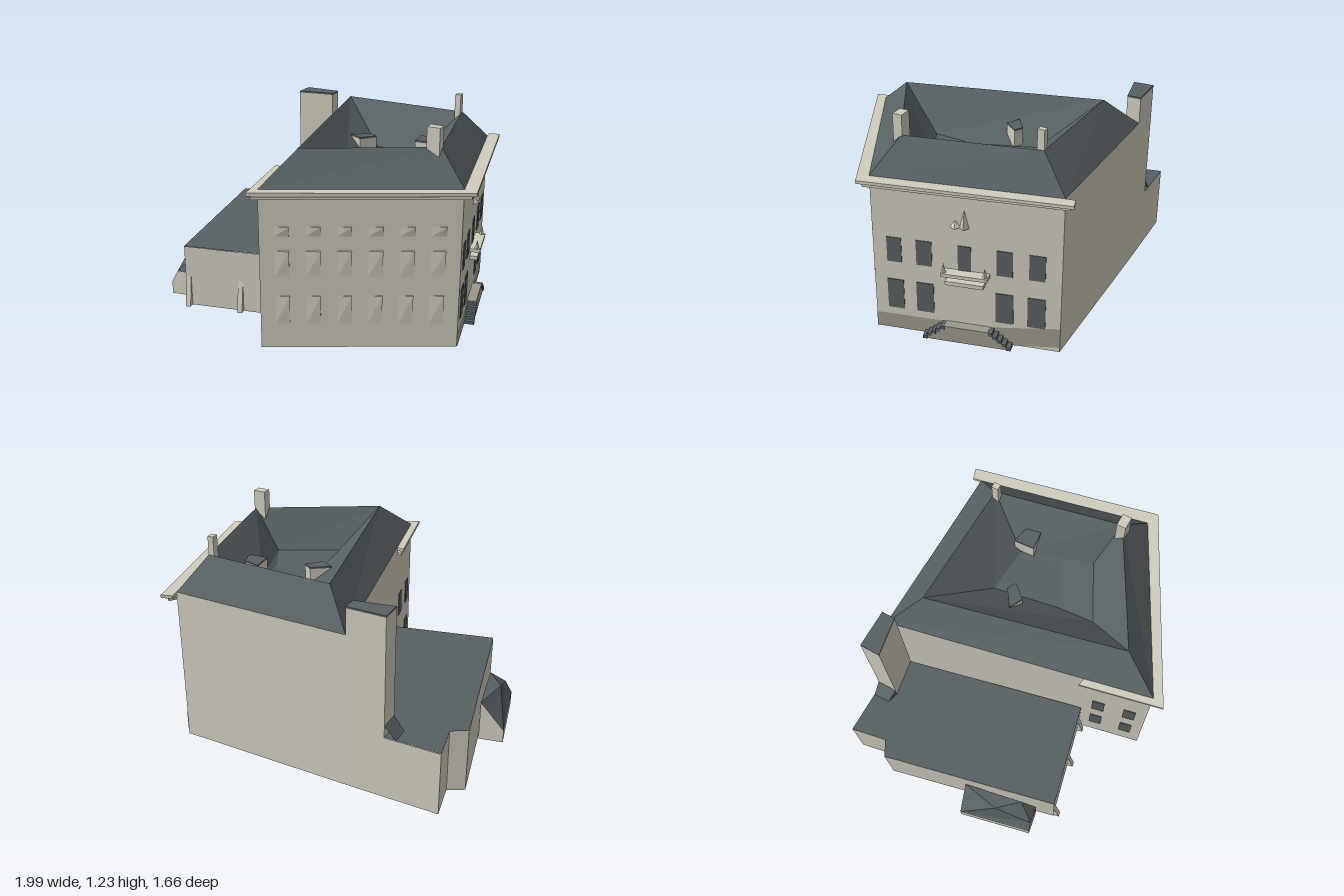
import * as THREE from 'three';

const mat = (name, color) => new THREE.MeshStandardMaterial({ name, color, flatShading: true, side: THREE.DoubleSide });
const stone = mat('stone', 0xd0ccc0);
const slate = mat('slate', 0x596164);
const plinthStone = mat('plinthStone', 0x9c998d);

// House corners on the ground as [x, z]
const A = [-0.045, 0.75], B = [0.91, 0.235], C = [0.68, -0.77], D = [-0.375, -0.78];

function mesh(name, geometry, material, parent) {
  const m = new THREE.Mesh(geometry, material);
  m.name = name;
  parent.add(m);
  return m;
}

// Flat faces from lists of corners, fanned into triangles
function faces(list) {
  const pos = [];
  for (const f of list)
    for (let i = 1; i < f.length - 1; i++) pos.push(...f[0], ...f[i], ...f[i + 1]);
  const g = new THREE.BufferGeometry();
  g.setAttribute('position', new THREE.Float32BufferAttribute(pos, 3));
  g.computeVertexNormals();
  return g;
}

// Open upright walls along a ground path
function walls(path, top) {
  return faces(path.slice(1).map((q, i) => {
    const p = path[i];
    return [[p[0], 0, p[1]], [q[0], 0, q[1]], [q[0], top, q[1]], [p[0], top, p[1]]];
  }));
}

// Horizontal slab from a ground outline
function slab(points, y0, y1) {
  const s = new THREE.Shape(points.map(([x, z]) => new THREE.Vector2(x, -z)));
  const g = new THREE.ExtrudeGeometry(s, { depth: y1 - y0, bevelEnabled: false });
  return g.rotateX(-Math.PI / 2).translate(0, y0, 0);
}

// Ring of quads between two loops of corners
const band = (a, b) => a.map((p, i) => {
  const j = (i + 1) % a.length;
  return [p, a[j], b[j], b[i]];
});

// Group whose x runs along a wall and whose z points out of it
function wallFrame(name, p, q, parent) {
  const g = new THREE.Group();
  g.name = name;
  g.position.set(p[0], 0, p[1]);
  g.rotation.y = Math.atan2(p[1] - q[1], q[0] - p[0]);
  g.userData.length = Math.hypot(q[0] - p[0], q[1] - p[1]);
  parent.add(g);
  return g;
}

function box(name, x0, x1, y0, y1, z0, z1, material, parent) {
  const g = new THREE.BoxGeometry(x1 - x0, y1 - y0, z1 - z0);
  g.translate((x0 + x1) / 2, (y0 + y1) / 2, (z0 + z1) / 2);
  return mesh(name, g, material, parent);
}

export function createModel() {
  const model = new THREE.Group();
  model.name = 'manorHouse';

  // Main block
  mesh('mainWalls', walls([D, A, B, C, D], 0.93), stone, model);

  // Hipped roof ring falling inward to a sunken courtyard
  const at = (pts, y) => pts.map(([x, z]) => [x, y, z]);
  const eave = at([D, A, B, C], 0.93);
  const ridge = at([[-0.2, -0.62], [0.07, 0.52], [0.735, 0.14], [0.57, -0.6]], 1.11);
  const court = at([[0.12, -0.36], [0.21, 0.24], [0.54, 0.07], [0.4, -0.34]], 0.89);
  const midL = [0.2, 0.87, 0.02], midR = [0.45, 0.87, -0.1];
  mesh('mainRoof', faces([
    ...band(eave, ridge), ...band(ridge, court),
    [court[1], court[2], midR, midL],
    [court[0], midL, midR, court[3]],
    [court[0], court[1], midL], [court[2], court[3], midR],
  ]), slate, model);

  // Courtyard dormers
  const dormers = [
    [[0.02, -0.2], [0.12, -0.27], [0.17, -0.24], [0.1, -0.16]],
    [[0.52, -0.27], [0.5, -0.36], [0.4, -0.38], [0.41, -0.26]],
  ];
  for (const d of dormers) {
    mesh('dormerBody', slab(d, 0.89, 0.985), stone, model);
    mesh('dormerRoof', slab(d, 0.985, 0.995), slate, model);
  }

  // Double cornice along three sides
  const inner = [[-0.13, 0.36], A, B, C];
  const outer = [[0.735, -0.84], [0.99, 0.265], [-0.07, 0.825], [-0.175, 0.35]];
  const outerLow = [[0.71, -0.81], [0.96, 0.25], [-0.06, 0.80], [-0.16, 0.35]];
  mesh('upperCornice', slab([...inner, [0.67, -0.82], ...outer], 0.912, 0.93), stone, model);
  mesh('lowerCornice', slab([...inner, ...outerLow], 0.885, 0.9), stone, model);

  // Roof chimneys
  box('frontChimney', 0.665, 0.74, 0.95, 1.225, 0.13, 0.185, stone, model);
  box('rearChimney', 0.535, 0.57, 0.95, 1.22, -0.6, -0.56, stone, model);

  // Tall stack at the back with a sloped shoulder
  const stack = [[-0.375, -0.78], [-0.6, -0.78], [-0.6, -0.66], [-0.375, -0.7]];
  mesh('stack', slab(stack, 0.38, 1.08), stone, model);
  mesh('stackCap', slab(stack, 1.08, 1.09), slate, model);
  mesh('stackShoulder', faces([
    [[-0.67, 0.38, -0.68], [-0.6, 0.38, -0.66], [-0.6, 0.45, -0.66]],
    [[-0.67, 0.38, -0.68], [-0.6, 0.45, -0.66], [-0.6, 0.45, -0.78], [-0.67, 0.38, -0.78]],
  ]), slate, model);

  // Low wing, open underneath
  const wing = [D, [-0.92, -0.78], [-0.88, -0.57], [-0.97, -0.52], [-0.73, 0.51], [-0.13, 0.37]];
  mesh('wingWalls', walls(wing, 0.38), stone, model);
  mesh('wingRoof', faces([
    [...at([wing[5], wing[4], wing[3], wing[2]], 0.382), [-0.375, 0.382, -0.69]],
    [...at([wing[2], wing[1], D], 0.382), [-0.375, 0.382, -0.69]],
  ]), slate, model);

  // Tapered buttresses on the wing front
  const wingFront = wallFrame('wingFront', wing[4], wing[5], model);
  for (const x of [0.005, 0.335, 0.575]) {
    const s = new THREE.Shape([[0, 0], [0.035, 0], [0, 0.19]].map(p => new THREE.Vector2(...p)));
    const g = new THREE.ExtrudeGeometry(s, { depth: 0.03, bevelEnabled: false });
    g.rotateY(-Math.PI / 2).translate(x + 0.03, 0, 0);
    mesh('buttress', g, stone, wingFront);
  }

  // Side porch with lean-to roof, hipped at the front
  const o0 = [-1, 0.08, 0], w0 = [-0.86, 0.25, -0.03], w1 = [-0.79, 0.25, 0.32];
  const o1 = [-0.9, 0.08, 0.43], m1 = [-0.86, 0.155, 0.42], e1 = [-0.76, 0.155, 0.405];
  const ground = p => [p[0], 0, p[2]];
  mesh('porchWalls', faces([
    [ground(w0), ground(o0), o0, w0],
    [ground(o0), ground(o1), o1, o0],
    [ground(o1), ground(e1), e1, m1, o1],
  ]), stone, model);
  mesh('porchRoof', faces([
    [o0, o1, m1], [o0, m1, [-0.9, 0.25, 0.2]], [o0, [-0.9, 0.25, 0.2], w0],
    [m1, e1, w1], [m1, w1, [-0.9, 0.25, 0.2]], [[-0.9, 0.25, 0.2], w1, w0],
  ]), slate, model);

  // Front facade: tilted stone panels in the blind windows
  const front = wallFrame('frontFacade', A, B, model);
  const k = front.userData.length / (B[0] - A[0]);
  for (let c = 0; c < 6; c++) {
    const x0 = (0.072 + c * 0.148) * k, x1 = x0 + 0.07 * k;
    for (const [y0, y1] of [[0.145, 0.315], [0.43, 0.58], [0.665, 0.72]]) {
      mesh('blindWindow', faces([
        [[x0, y0, 0.002], [x1, y0, 0.002], [x1, y1, 0.012]],
        [[x0, y0, 0.002], [x1, y1, 0.012], [x0, y1, 0.002]],
        [[x1, y0, 0.002], [x1, y0, 0], [x1, y1, 0], [x1, y1, 0.012]],
        [[x0, y1, 0.002], [x1, y1, 0.012], [x1, y1, 0]],
      ]), stone, front);
    }
  }

  // Right facade: dark windows, placed by depth z
  const right = wallFrame('rightFacade', B, C, model);
  const along = z => (B[1] - z) / (B[1] - C[1]) * right.userData.length;
  const pane = (z0, z1, y0, y1) => box('window', along(z0), along(z1), y0, y1, 0, 0.004, slate, right);
  for (const [a, b] of [[0.16, 0.08], [0, -0.085], [-0.43, -0.515], [-0.6, -0.685]]) {
    pane(a, b, 0.43, 0.58);
    pane(a + 0.005, b - 0.005, 0.135, 0.318);
  }
  pane(-0.225, -0.295, 0.43, 0.58);

  // Sloping plinth
  const len = right.userData.length;
  mesh('plinth', faces([
    [[0, 0, 0.003], [along(-0.52), 0, 0.003], [len, 0.03, 0.003], [len, 0.15, 0.003], [along(-0.4), 0.095, 0.003], [0, 0.09, 0.003]],
  ]), plinthStone, right);

  // Balcony, its lower ledge and finials
  box('balcony', along(-0.145), along(-0.395), 0.412, 0.432, 0, 0.06, stone, right);
  box('balconyLedge', along(-0.165), along(-0.37), 0.355, 0.378, 0, 0.045, stone, right);
  for (const z of [-0.158, -0.378]) {
    const f = mesh('finial', new THREE.ConeGeometry(0.014, 0.055, 4), stone, right);
    f.position.set(along(z), 0.459, 0.04);
  }

  // Small pointed ornaments above the balcony
  for (const [z, w, h] of [[-0.215, 0.03, 0.04], [-0.262, 0.026, 0.105]]) {
    const x = along(z);
    mesh('ornament', faces([
      [[x - w, 0.69, 0], [x, 0.69, 0.03], [x, 0.69 + h, 0]],
      [[x, 0.69, 0.03], [x + w, 0.69, 0], [x, 0.69 + h, 0]],
    ]), stone, right);
  }

  // Entrance landing with a ramp to each side
  const ramp = new THREE.Shape([[-0.04, 0], [-0.16, 0.095], [-0.395, 0.095], [-0.52, 0]]
    .map(([z, y]) => new THREE.Vector2(along(z), y)));
  mesh('entranceLanding', new THREE.ExtrudeGeometry(ramp, { depth: 0.055, bevelEnabled: false }), plinthStone, right);
  for (const [z0, z1] of [[-0.04, -0.16], [-0.52, -0.395]]) {
    for (let i = 0; i < 5; i++) {
      const x = along(z0 + (z1 - z0) * (i + 0.5) / 5), y = 0.019 * (i + 1);
      box('step', x - 0.012, x + 0.012, y - 0.019, y, 0.005, 0.06, slate, right);
    }
  }

  // Left facade: narrow dark windows near the front corner
  const left = wallFrame('leftFacade', D, A, model);
  const n = left.userData.length;
  for (const x of [0.79, 0.912])
    for (const [y0, y1] of [[0.43, 0.58], [0.15, 0.305]])
      box('window', n * x, n * x + 0.075, y0, y1, 0, 0.004, slate, left);

  return model;
}
